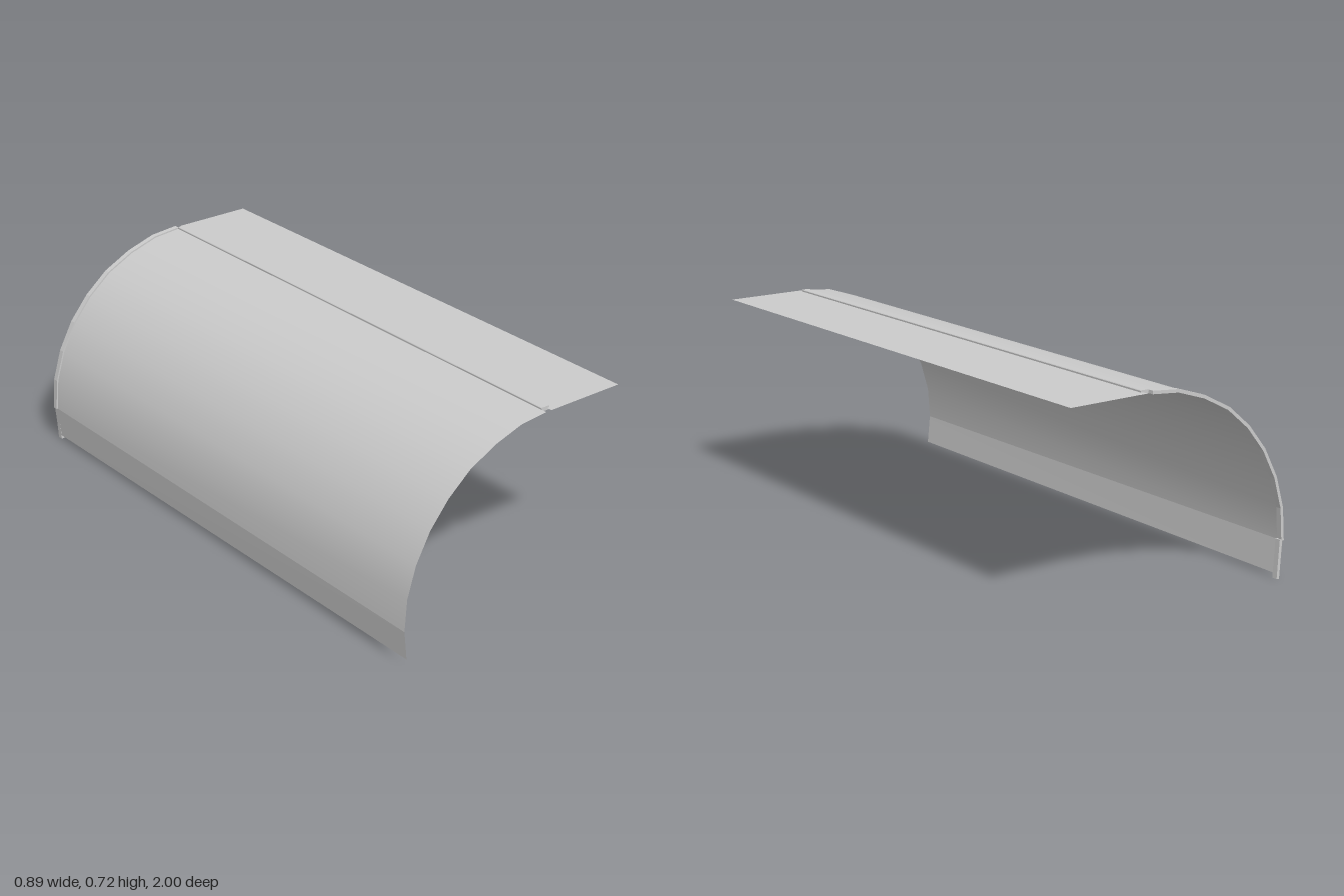
import * as THREE from 'three';

const grey = new THREE.MeshStandardMaterial({ color: 0xcccccc, side: THREE.DoubleSide });

// Arch profile (x, y) at the back end, from the hinge down to the skirt joint
const ARCH = [
  [0.128, 0.711], [0.023, 0.701], [-0.085, 0.666], [-0.188, 0.613], [-0.275, 0.540],
  [-0.346, 0.454], [-0.401, 0.352], [-0.434, 0.243], [-0.443, 0.130],
];

// Thin sheet lofted between two matching profiles, smooth across its segments
function loft(name, back, front) {
  const n = back.length, pos = [], index = [];
  for (const [profile, z] of [[back, -1], [front, 1]]) {
    for (const [x, y] of profile) pos.push(x, y, z);
  }
  for (let i = 0; i < n - 1; i++) {
    index.push(i, n + i, i + 1, i + 1, n + i, n + i + 1);
  }
  const geo = new THREE.BufferGeometry();
  geo.setAttribute('position', new THREE.Float32BufferAttribute(pos, 3));
  geo.setIndex(index.map((_, k) => index[k - (k % 3) + [0, 2, 1][k % 3]]));
  geo.computeVertexNormals();
  // Outer side is the front face
  if (geo.attributes.normal.getY(0) < 0) {
    geo.setIndex(index);
    geo.computeVertexNormals();
  }
  const mesh = new THREE.Mesh(geo, grey);
  mesh.name = name;
  return mesh;
}

// Solid strip following a profile, with a given thickness, at the back end
function strip(name, profile, thickness, depth) {
  const pts = profile.map(([x, y]) => new THREE.Vector2(x, y));
  const side = (s) => pts.map((p, i) => {
    const a = pts[Math.max(i - 1, 0)], b = pts[Math.min(i + 1, pts.length - 1)];
    const t = b.clone().sub(a).normalize();
    return new THREE.Vector2(p.x - t.y * s, p.y + t.x * s);
  });
  const shape = new THREE.Shape([...side(thickness / 2), ...side(-thickness / 2).reverse()]);
  const geo = new THREE.ExtrudeGeometry(shape, { depth, bevelEnabled: false });
  geo.translate(0, 0, -1);
  const mesh = new THREE.Mesh(geo, grey);
  mesh.name = name;
  return mesh;
}

export function createModel() {
  const model = new THREE.Group();
  model.name = 'curvedCover';

  // Curved sheet, drawn in slightly toward the front end
  const archFront = ARCH.map(([x, y], i) => [x + 0.006 * Math.min(1, i / 8), y]);
  model.add(loft('curvedSheet', ARCH, archFront));

  // Straight skirt below the curve
  model.add(loft('skirt',
    [[-0.443, 0.130], [-0.433, 0.015]],
    [[-0.437, 0.130], [-0.426, 0.026]]));

  // Rim around the back end
  model.add(strip('backRim', ARCH, 0.011, 0.02));
  model.add(strip('skirtRim', [[-0.436, 0.135], [-0.428, 0.001]], 0.011, 0.02));

  // Hinge bar with chamfered edges, stopping short of both ends
  const w = 0.0155, h = 0.007, c = 0.002;
  const section = new THREE.Shape([
    [-w, -h + c], [-w + c, -h], [w - c, -h], [w, -h + c],
    [w, h - c], [w - c, h], [-w + c, h], [-w, h - c],
  ].map(([x, y]) => new THREE.Vector2(x, y)));
  const hinge = new THREE.Mesh(
    new THREE.ExtrudeGeometry(section, { depth: 1.96, bevelEnabled: false }), grey);
  hinge.name = 'hingeBar';
  hinge.position.set(0.1425, 0.711, -0.98);
  model.add(hinge);

  // Flat flap beyond the hinge
  const flap = new THREE.Mesh(new THREE.PlaneGeometry(0.296, 2).rotateX(-Math.PI / 2), grey);
  flap.name = 'flatFlap';
  flap.position.set(0.298, 0.711, 0);
  model.add(flap);

  return model;
}
